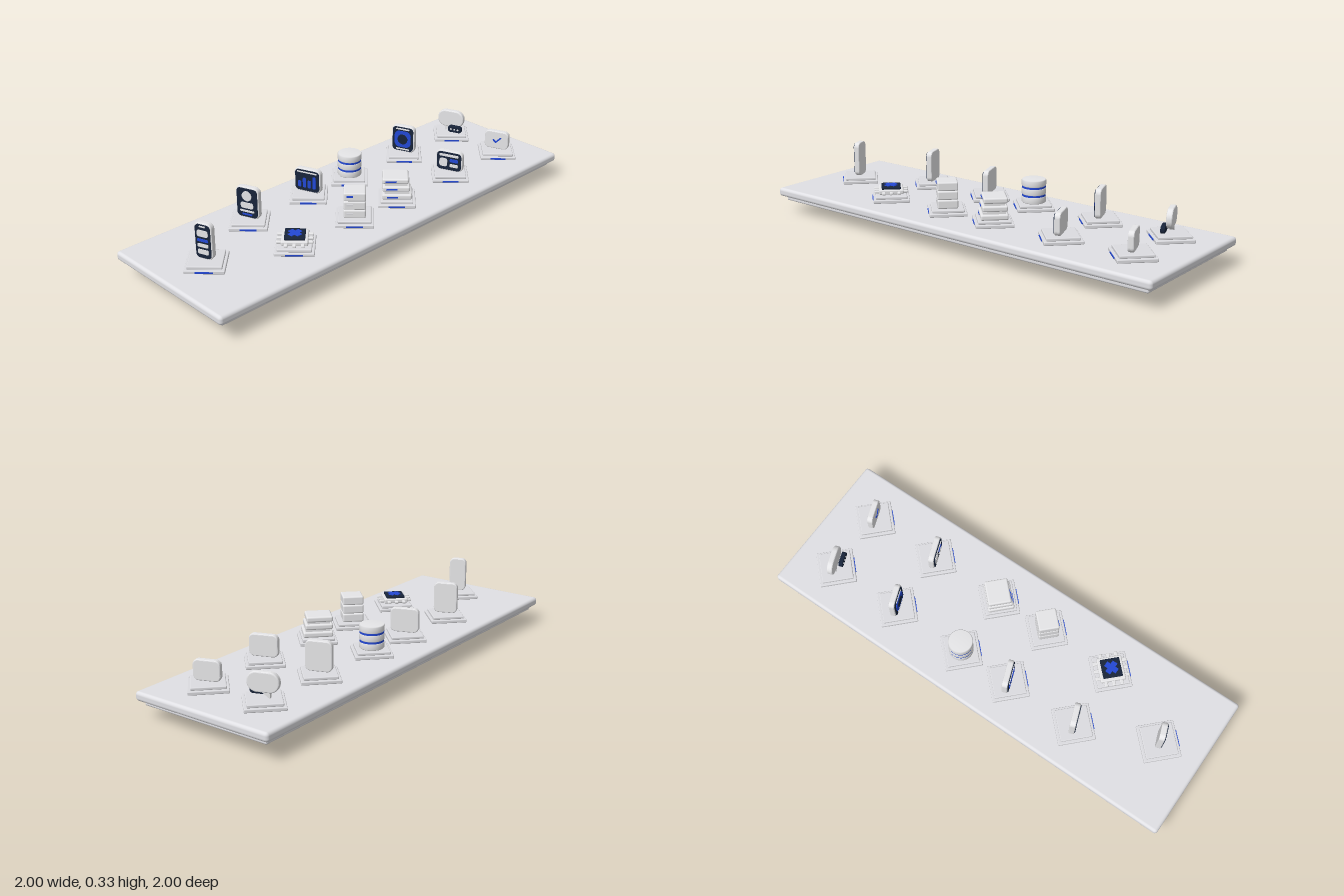
import * as THREE from 'three';
import { RoundedBoxGeometry } from 'three/addons/geometries/RoundedBoxGeometry.js';

const mat = (name, color) => {
  const m = new THREE.MeshStandardMaterial({ color });
  m.name = name;
  return m;
};

export function createModel() {
  const model = new THREE.Group();
  model.name = 'displayBoard';
  const board = mat('board grey', 0xe0e0e4);
  const tile = mat('tile grey', 0xdcdce0);
  const white = mat('soft white', 0xeeeef0);
  const navy = mat('dark navy', 0x18243a);
  const blue = mat('signal blue', 0x2348d4);

  const add = (parent, name, geo, material, x = 0, y = 0, z = 0) => {
    const m = new THREE.Mesh(geo, material);
    m.name = name;
    m.position.set(x, y, z);
    parent.add(m);
    return m;
  };
  const box = (p, name, w, h, d, m, x, y, z) => add(p, name, new THREE.BoxGeometry(w, h, d), m, x, y, z);
  const soft = (p, name, w, h, d, r, m, x, y, z) =>
    add(p, name, new RoundedBoxGeometry(w, h, d, 3, r), m, x, y, z);

  const roundRect = (w, h, r) => {
    const s = new THREE.Shape(), a = w / 2, b = h / 2;
    s.moveTo(-a + r, -b);
    s.lineTo(a - r, -b).absarc(a - r, -b + r, r, -Math.PI / 2, 0);
    s.lineTo(a, b - r).absarc(a - r, b - r, r, 0, Math.PI / 2);
    s.lineTo(-a + r, b).absarc(-a + r, b - r, r, Math.PI / 2, Math.PI);
    s.lineTo(-a, -b + r).absarc(-a + r, -b + r, r, Math.PI, Math.PI * 1.5);
    return s;
  };
  // Thin rounded plate centred on z
  const plate = (p, name, w, h, d, r, m, x = 0, y = 0, z = 0, bevel = 0) => {
    const geo = new THREE.ExtrudeGeometry(roundRect(w - 2 * bevel, h - 2 * bevel, r - bevel), {
      depth: d - 2 * bevel, bevelEnabled: bevel > 0, bevelSize: bevel, bevelThickness: bevel,
      bevelSegments: 3, curveSegments: 8,
    });
    geo.translate(0, 0, bevel - d / 2);
    return add(p, name, geo, m, x, y, z);
  };

  // Diagonal board in three layers
  const stand = new THREE.Group();
  stand.name = 'board';
  stand.rotation.y = Math.PI / 4;
  model.add(stand);
  soft(stand, 'topBoard', 2.13, 0.042, 0.713, 0.015, board, 0, 0.109, 0);
  soft(stand, 'lowerBoard', 2.075, 0.026, 0.658, 0.008, board, 0, 0.078, 0);
  soft(stand, 'foot', 1.523, 0.067, 0.363, 0.028, board, 0, 0.0335, 0);

  // Stepped square pedestal with a blue tag; returns a group for its exhibit
  const pedestal = (name, x, z, turn = 0) => {
    const g = new THREE.Group();
    g.name = name + 'Pedestal';
    g.position.set(x, 0.13, z);
    model.add(g);
    soft(g, 'lowerTile', 0.172, 0.016, 0.172, 0.004, tile, 0, 0.008, 0);
    soft(g, 'upperTile', 0.148, 0.014, 0.148, 0.004, tile, 0, 0.022, 0);
    box(g, 'frontTag', 0.075, 0.007, 0.004, blue, 0, 0.008, 0.087);
    const e = new THREE.Group();
    e.name = name;
    e.position.y = 0.028;
    e.rotation.y = turn;
    g.add(e);
    return e;
  };

  // Upright card with an optional dark screen; marks are [w, h, x, y, material]
  const D = 0.027, TURN = -0.43;
  const card = (name, x, z, w, h, screen, marks) => {
    const e = pedestal(name, x, z, TURN);
    const r = 0.024, cy = h / 2 + 0.002;
    plate(e, 'cardBody', w, h, D, r, white, 0, cy, 0, 0.005);
    if (screen) plate(e, 'screen', w - 0.012, h - 0.012, 0.004, r - 0.006, navy, 0, cy, D / 2 + 0.001);
    for (const [mw, mh, mx, my, m] of marks)
      plate(e, 'screenMark', mw, mh, 0.004, Math.min(mw, mh) * 0.3, m, mx, cy + my, D / 2 + 0.004);
    return { e, cy };
  };
  const disc = (c, name, r, x, y, m, z = D / 2 + 0.004) => {
    const d = add(c.e, name, new THREE.CylinderGeometry(r, r, 0.004, 28), m, x, c.cy + y, z);
    d.rotation.x = Math.PI / 2;
  };

  // Phone
  card('phone', -0.605, 0.6, 0.084, 0.168, true, [
    [0.028, 0.006, 0, 0.07, white], [0.052, 0.03, 0, 0.038, white], [0.052, 0.012, 0, 0.006, blue],
    [0.052, 0.016, 0, -0.018, white], [0.052, 0.022, 0, -0.048, white],
  ]);

  // Profile card
  const profile = card('profileCard', -0.46, 0.24, 0.114, 0.15, true, [
    [0.062, 0.028, 0, -0.012, white], [0.07, 0.009, 0, -0.04, white], [0.05, 0.007, 0, -0.056, blue],
  ]);
  disc(profile, 'portrait', 0.024, 0, 0.034, white);

  // Chart screen
  card('chartScreen', -0.21, -0.015, 0.134, 0.115, true, [
    [0.1, 0.006, 0, 0.042, white],
    ...[0.03, 0.048, 0.038, 0.06].map((h, i) => [0.016, h, -0.038 + i * 0.025, h / 2 - 0.035, blue]),
  ]);

  // Window card
  const win = card('windowCard', 0.24, -0.46, 0.12, 0.136, true, [
    [0.085, 0.085, 0, 0, blue], [0.07, 0.007, 0, 0.053, white], [0.07, 0.007, 0, -0.053, white],
  ]);
  disc(win, 'dial', 0.026, 0, 0, navy, D / 2 + 0.006);

  // Panel card
  card('panelCard', 0.455, -0.245, 0.134, 0.102, true, [
    [0.095, 0.012, 0, 0.03, white], [0.04, 0.042, -0.028, -0.008, white],
    [0.042, 0.016, 0.026, 0.006, blue], [0.042, 0.016, 0.026, -0.02, white],
  ]);

  // Tick card
  const tick = card('tickCard', 0.705, -0.5, 0.122, 0.092, false, []);
  for (const [w, x, y, a] of [[0.02, -0.009, -0.005, -0.75], [0.04, 0.01, 0.001, 0.8]])
    plate(tick.e, 'tickStroke', w, 0.007, 0.004, 0.002, blue, x, y + tick.cy, D / 2 + 0.001).rotation.z = a;

  // Speech bubble with a tail and a small dark reply
  const bubble = pedestal('speechBubble', 0.49, -0.715, TURN);
  plate(bubble, 'bubbleBody', 0.138, 0.088, D, 0.042, white, 0, 0.068, 0, 0.006);
  const tail = new THREE.Shape([[-0.03, 0.04], [-0.028, 0], [0.012, 0.03]].map(([x, y]) => new THREE.Vector2(x, y)));
  add(bubble, 'bubbleTail', new THREE.ExtrudeGeometry(tail, { depth: 0.02, bevelEnabled: false }), white, 0, 0, -0.01);
  plate(bubble, 'replyBubble', 0.072, 0.034, 0.02, 0.014, navy, 0.032, 0.023, 0.026, 0.003);
  for (const x of [-0.018, 0, 0.018])
    plate(bubble, 'replyDot', 0.009, 0.009, 0.003, 0.004, white, 0.032 + x, 0.023, 0.037);

  // Chip with pins on four sides
  const chip = pedestal('chip', -0.245, 0.455);
  soft(chip, 'chipBody', 0.116, 0.022, 0.116, 0.006, white, 0, 0.018, 0);
  soft(chip, 'chipCore', 0.09, 0.012, 0.09, 0.004, navy, 0, 0.034, 0);
  for (const a of [Math.PI / 4, -Math.PI / 4])
    box(chip, 'coreCross', 0.062, 0.004, 0.026, blue, 0, 0.041, 0).rotation.y = a;
  for (let side = 0; side < 4; side++) {
    const row = new THREE.Group();
    row.name = 'pinRow';
    row.rotation.y = side * Math.PI / 2;
    chip.add(row);
    for (const x of [-0.036, 0, 0.036]) soft(row, 'pin', 0.016, 0.012, 0.026, 0.004, white, x, 0.016, 0.066);
  }

  // Round storage stack
  const drum = pedestal('storageDrum', -0.025, -0.2);
  for (let i = 0; i < 3; i++) {
    const pts = [[0, 0], [0.053, 0], [0.057, 0.004], [0.057, 0.028], [0.053, 0.032], [0, 0.032]];
    add(drum, 'drumLayer', new THREE.LatheGeometry(pts.map(([x, y]) => new THREE.Vector2(x, y)), 40), white, 0, 0.001 + i * 0.039, 0);
    if (i < 2) add(drum, 'drumRing', new THREE.CylinderGeometry(0.055, 0.055, 0.009, 40), blue, 0, 0.0365 + i * 0.039, 0);
  }

  // Server tower of three units
  const tower = pedestal('serverTower', 0.005, 0.205);
  for (let i = 0; i < 3; i++) {
    const y = 0.021 + i * 0.042;
    soft(tower, 'serverUnit', 0.098, 0.041, 0.094, 0.007, white, 0, y, 0);
    box(tower, 'unitLight', 0.028, 0.007, 0.004, i === 2 ? blue : tile, -0.022, y + 0.004, 0.048);
  }

  // Stack of three offset trays
  const trays = pedestal('trayStack', 0.195, 0.015);
  [[0.136, 0, 0], [0.126, -0.004, -0.003], [0.12, -0.007, -0.006]].forEach(([w, x, z], i) => {
    const y = 0.016 + i * 0.036;
    soft(trays, 'tray', w, 0.026, w - 0.012, 0.008, white, x, y, z);
    if (i < 2) box(trays, 'traySpacer', w - 0.024, 0.012, w - 0.036, white, x, y + 0.018, z);
    box(trays, 'trayLabel', 0.05, 0.006, 0.004, blue, x - 0.02, y, z + w / 2 - 0.006);
  });

  return model;
}
